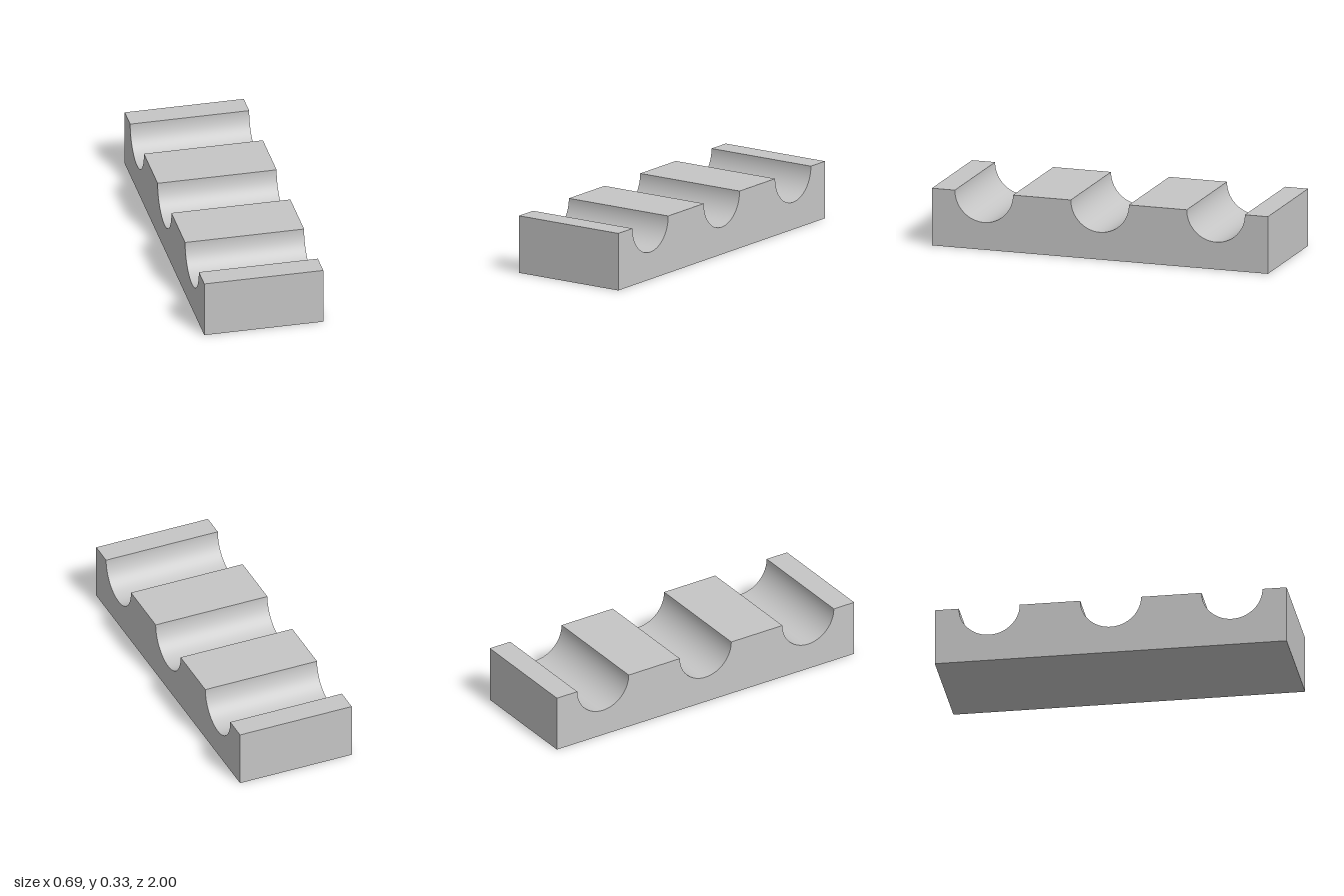
import * as THREE from 'three';
import { toCreasedNormals } from 'three/addons/utils/BufferGeometryUtils.js';

const LENGTH = 2, WIDTH = 0.686, HEIGHT = 0.331;
const GROOVE_RADIUS = 0.173, GROOVE_SPACING = 0.69;

export function createModel() {
  const model = new THREE.Group();
  model.name = 'groovedRack';

  const grey = new THREE.MeshStandardMaterial({ color: 0xc6c6c6 });
  grey.name = 'light grey';

  // Side profile: a block with three half-round grooves cut into its top
  const profile = new THREE.Shape();
  profile.moveTo(-LENGTH / 2, 0);
  profile.lineTo(LENGTH / 2, 0);
  profile.lineTo(LENGTH / 2, HEIGHT);
  for (const i of [1, 0, -1]) {
    profile.absarc(i * GROOVE_SPACING, HEIGHT, GROOVE_RADIUS, 0, -Math.PI, true);
  }
  profile.lineTo(-LENGTH / 2, HEIGHT);
  profile.closePath();

  // Extrude across the width, then turn the profile to run along z
  const geometry = new THREE.ExtrudeGeometry(profile, {
    depth: WIDTH, bevelEnabled: false, curveSegments: 24,
  });
  geometry.translate(0, 0, -WIDTH / 2);
  geometry.rotateY(-Math.PI / 2);

  // Smooth grooves, sharp rims
  const block = new THREE.Mesh(toCreasedNormals(geometry, Math.PI / 6), grey);
  block.name = 'groovedBlock';
  model.add(block);
  return model;
}
